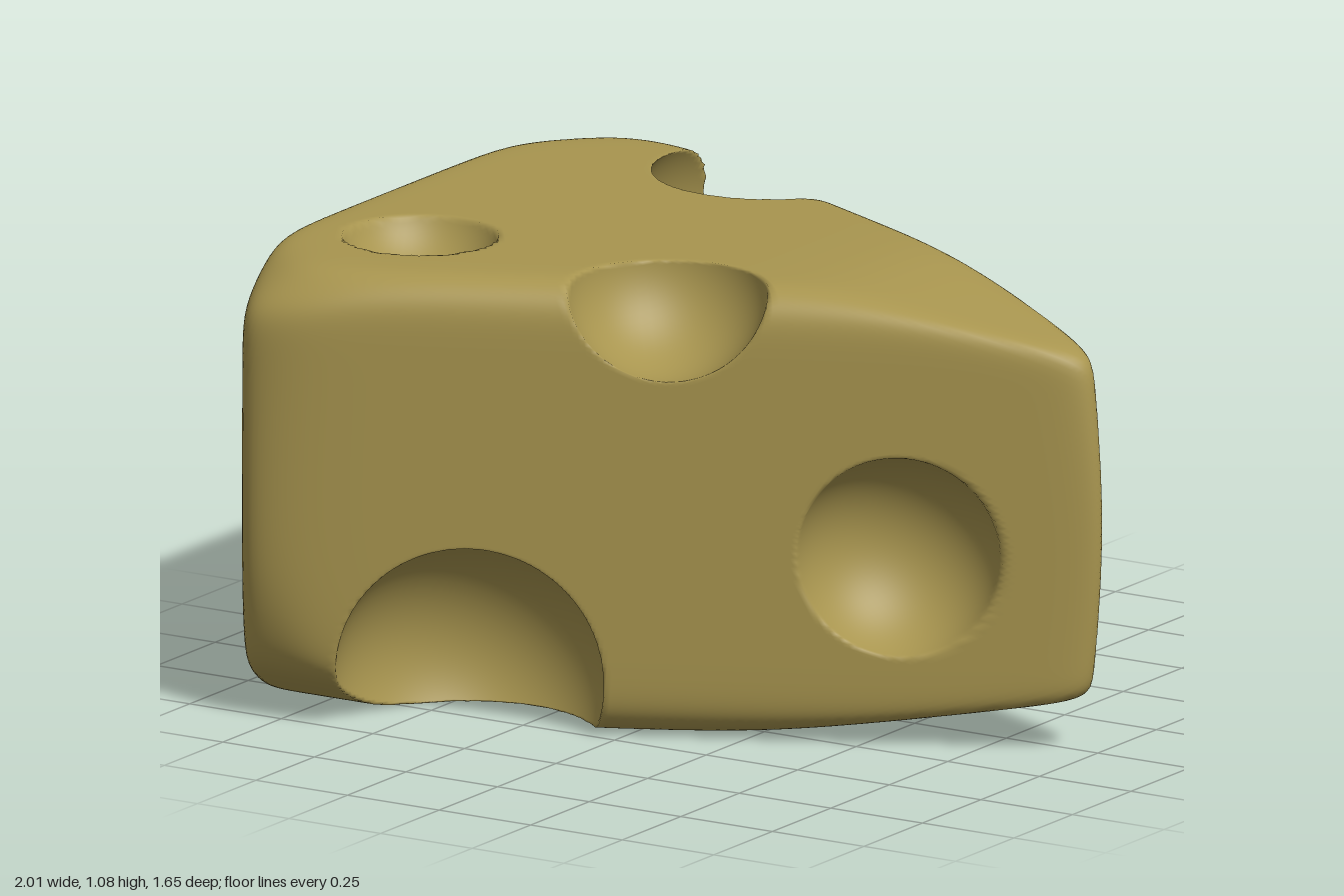
import * as THREE from 'three';
import { mergeVertices } from 'three/addons/utils/BufferGeometryUtils.js';

const V = (x, y, z) => new THREE.Vector3(x, y, z);
const MIDDLE = V(-0.35, 0.54, 0);
const SHARPNESS = 40;

// Planes bounding the wedge: [normal, distance from the middle]
function wedgePlanes() {
  const planes = [];
  const add = (x, y, z, distance) => planes.push([V(x, y, z).normalize(), distance]);
  // top and bottom, each sloping off towards the tip
  add(0, 1, 0, 0.54);
  add(0, -1, 0, 0.54);
  add(0.23, 0.973, 0, 0.7);
  add(0.167, -0.986, 0, 0.635);
  // blunt tip
  add(0.986, 0.166, 0, 1.382);
  add(0.986, -0.166, 0, 1.382);
  // rind end leaning inward, with its upper taper and bevels
  add(-1, 0.04, 0, 0.645);
  add(-0.984, 0.179, 0, 0.68);
  add(-0.707, 0.707, 0, 0.8);
  add(-0.75, -0.66, 0, 0.79);
  // mirrored cut faces, bowed rind, rounded corners and long bevels
  for (const s of [1, -1]) {
    add(0.423, 0, 0.906 * s, 0.597);
    add(-0.977, 0, 0.214 * s, 0.678);
    add(-0.92, 0, 0.39 * s, 0.765);
    add(-0.6, 0, 0.8 * s, 0.95);
    add(0, 0, s, 0.86);
    add(0.2, 0, 0.98 * s, 0.757);
    add(0.3, 0.707, 0.64 * s, 0.765);
    add(0.3, -0.707, 0.64 * s, 0.765);
    add(0, 0.78, 0.62 * s, 0.86);
    add(0, 0.06, s, 0.845);
    add(-0.45, 0.8, 0.4 * s, 0.89);
  }
  // worn lower corners, the front one more than the back
  add(0, -0.83, 0.55, 0.785);
  add(0, -0.93, 0.36, 0.71);
  add(0, -0.27, 0.963, 0.865);
  add(0, -0.965, -0.263, 0.69);
  return planes;
}

// Round hollows: centre, radius, outward direction
const FRONT = [0.423, 0, 0.906], BACK = [0.423, 0, -0.906];
const HOLLOWS = [
  { at: [0.625, 0.455, 0.28], r: 0.247, out: FRONT },
  { at: [0.1, 1.09, 0.435], r: 0.236, out: [0.3, 0.707, 0.64] },
  { at: [-0.315, 0.13, 0.625], r: 0.312, out: [0.3, -0.75, 0.59] },
  { at: [-0.625, 1.15, 0.35], r: 0.193, out: [0, 1, 0] },
  { at: [-0.27, 0.88, -0.58], r: 0.335, out: [0.25, 0.82, -0.5] },
  { at: [0.65, 0.61, -0.275], r: 0.211, out: BACK },
  { at: [0.1, 0, -0.55], r: 0.285, out: [0.3, -0.6, -0.74] },
  { at: [-1.07, 0.27, -0.07], r: 0.195, out: [-1, 0, 0] },
];

function wedgeGeometry() {
  let geometry = new THREE.IcosahedronGeometry(1, 84);
  geometry.deleteAttribute('uv');
  geometry.deleteAttribute('normal');
  geometry = mergeVertices(geometry, 1e-5);
  const position = geometry.attributes.position;
  const planes = wedgePlanes();
  const spread = V(1.4, 0.7, 1);
  const p = V(0, 0, 0);

  // soft-edged wedge: a power mean of the bounding planes along each ray
  for (let i = 0; i < position.count; i++) {
    p.fromBufferAttribute(position, i).multiply(spread).normalize();
    let sum = 0;
    for (const [normal, distance] of planes) {
      sum += Math.pow(Math.max(0, normal.dot(p) / distance), SHARPNESS);
    }
    p.multiplyScalar(Math.pow(sum, -1 / SHARPNESS)).add(MIDDLE);
    position.setXYZ(i, p.x, p.y, p.z);
  }

  // press the hollows in: push enclosed points away from an apex onto the sphere
  for (const { at, r, out } of HOLLOWS) {
    const centre = V(...at);
    const apex = V(...out).setLength(r * 0.85);
    for (let i = 0; i < position.count; i++) {
      p.fromBufferAttribute(position, i).sub(centre);
      if (p.length() >= r) continue;
      p.sub(apex).normalize();
      const along = apex.dot(p);
      const reach = -along + Math.sqrt(along * along + r * r - apex.lengthSq());
      p.multiplyScalar(reach).add(apex).add(centre);
      position.setXYZ(i, p.x, p.y, p.z);
    }
  }
  geometry.computeVertexNormals();
  return geometry;
}

export function createModel() {
  const group = new THREE.Group();
  group.name = 'cheeseWedge';
  const cheese = new THREE.MeshStandardMaterial({ color: 0xa8954f });
  cheese.name = 'cheese yellow';
  const wedge = new THREE.Mesh(wedgeGeometry(), cheese);
  wedge.name = 'wedgeWithHollows';
  group.add(wedge);
  return group;
}
